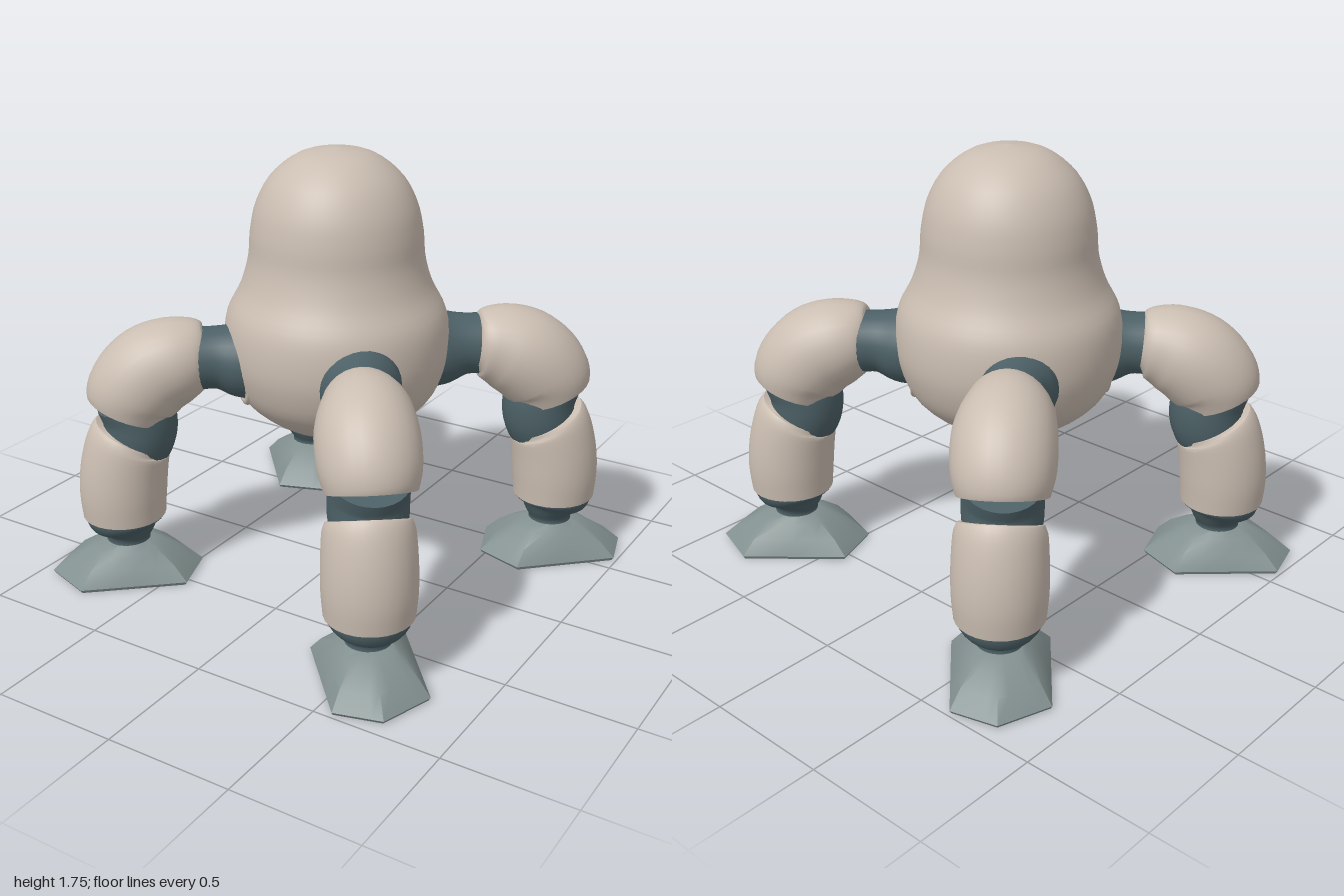
import * as THREE from 'three';
import { toCreasedNormals } from 'three/addons/utils/BufferGeometryUtils.js';

const mat = (name, color) => {
  const m = new THREE.MeshStandardMaterial({ color });
  m.name = name;
  return m;
};

const mesh = (name, geometry, material) => {
  const m = new THREE.Mesh(geometry, material);
  m.name = name;
  return m;
};

// Joins closed rings of points, capping both ends; counter-clockwise about the travel direction
function skin(rings) {
  const n = rings[0].length, pos = [], idx = [];
  rings.forEach(r => r.forEach(p => pos.push(p.x, p.y, p.z)));
  for (let i = 0; i < rings.length - 1; i++) {
    for (let j = 0; j < n; j++) {
      const k = (j + 1) % n;
      const a = i * n + j, b = i * n + k, c = b + n, d = a + n;
      idx.push(a, b, c, a, c, d);
    }
  }
  [0, rings.length - 1].forEach((ri, end) => {
    const c = new THREE.Vector3();
    rings[ri].forEach(p => c.addScaledVector(p, 1 / n));
    const ci = pos.length / 3;
    pos.push(c.x, c.y, c.z);
    for (let j = 0; j < n; j++) {
      const a = ri * n + j, b = ri * n + (j + 1) % n;
      idx.push(ci, ...(end ? [a, b] : [b, a]));
    }
  });
  const g = new THREE.BufferGeometry();
  g.setAttribute('position', new THREE.Float32BufferAttribute(pos, 3));
  g.setIndex(idx);
  return g;
}

// Round limb along a smooth path; each section is [x, y, z, radius]
function limb(sections, steps = 18, sides = 28) {
  const path = new THREE.CatmullRomCurve3(sections.map(s => new THREE.Vector3(s[0], s[1], s[2])));
  const radii = new THREE.CatmullRomCurve3(
    sections.map((s, i) => new THREE.Vector3(s[3], i, 0)), false, 'catmullrom', 0.5);
  const side = new THREE.Vector3(0.78, 0, -0.62);
  const rings = [];
  for (let i = 0; i <= steps; i++) {
    const c = path.getPoint(i / steps), t = path.getTangent(i / steps);
    const r = radii.getPoint(i / steps).x;
    const u = side.clone().addScaledVector(t, -side.dot(t)).normalize();
    const v = t.clone().cross(u);
    rings.push(Array.from({ length: sides }, (_, j) => {
      const a = j / sides * Math.PI * 2;
      return c.clone().addScaledVector(u, r * Math.cos(a)).addScaledVector(v, r * Math.sin(a));
    }));
  }
  return toCreasedNormals(skin(rings), 0.8);
}

// Six-sided foot that rounds off towards the ankle
function footGeometry() {
  const corners = [[0.57, 0.99], [0.75, 0.94], [0.82, 0.73], [0.54, 0.41], [0.34, 0.48], [0.28, 0.68]];
  const centre = new THREE.Vector2(0.545, 0.7);
  const outline = corners.flatMap(([x, z], i) => {
    const [nx, nz] = corners[(i + 1) % corners.length];
    return [0, 0.25, 0.5, 0.75].map(t => new THREE.Vector2(x + (nx - x) * t, z + (nz - z) * t).sub(centre));
  });
  // height, scale of the outline, share of a round section
  const levels = [[0.002, 0.97, 0], [0.015, 1, 0], [0.075, 0.79, 0.15], [0.125, 0.52, 0.4], [0.15, 0.33, 0.9]];
  const rings = levels.map(([y, s, round]) => outline.map(p => {
    const q = p.clone().lerp(p.clone().setLength(0.29), round).multiplyScalar(s).add(centre);
    return new THREE.Vector3(q.x, y, q.y);
  }));
  return toCreasedNormals(skin(rings), 0.6);
}

export function createModel() {
  const shell = mat('beige shell', 0xcabdb1);
  const joint = mat('dark joint', 0x4c6066);
  const sole = mat('grey foot', 0x82908f);
  const brass = mat('brown nozzle', 0x624d28);
  const model = new THREE.Group();
  model.name = 'walker';

  // Domed body with a wide belly
  const body = new THREE.Group();
  body.name = 'body';
  body.position.set(-0.035, 0, -0.015);
  const profile = new THREE.SplineCurve([
    [0, 0.585], [0.12, 0.595], [0.26, 0.65], [0.38, 0.75], [0.435, 0.87], [0.45, 0.98], [0.435, 1.1],
    [0.38, 1.21], [0.348, 1.32], [0.338, 1.43], [0.312, 1.54], [0.25, 1.645], [0.14, 1.725], [0, 1.75],
  ].map(p => new THREE.Vector2(...p))).getPoints(48);
  profile.forEach(p => { p.x = Math.max(0, p.x); });
  body.add(mesh('bodyShell', new THREE.LatheGeometry(profile, 48), shell));

  // Nozzle under the belly
  const nozzle = [[0, 0.42], [0.045, 0.425], [0.068, 0.47], [0.097, 0.55], [0.122, 0.61]]
    .map(p => new THREE.Vector2(...p));
  body.add(mesh('nozzle', new THREE.LatheGeometry(nozzle, 12), brass));
  model.add(body);

  // One leg, repeated by quarter turns
  const leg = new THREE.Group();
  leg.add(
    mesh('hipJoint', limb([
      [0.2, 0.925, 0.22, 0.165], [0.27, 0.925, 0.3, 0.155], [0.33, 0.935, 0.38, 0.125], [0.41, 0.93, 0.48, 0.13],
    ]), joint),
    mesh('upperLeg', limb([
      [0.34, 0.95, 0.425, 0.115], [0.36, 0.947, 0.45, 0.145], [0.415, 0.925, 0.515, 0.176],
      [0.472, 0.878, 0.595, 0.19], [0.518, 0.8, 0.652, 0.186], [0.537, 0.725, 0.675, 0.166],
    ], 24), shell),
    mesh('kneeJoint', limb([
      [0.525, 0.77, 0.66, 0.145], [0.505, 0.69, 0.64, 0.148], [0.508, 0.61, 0.645, 0.146], [0.535, 0.52, 0.68, 0.13],
    ]), joint),
    mesh('lowerLeg', limb([
      [0.522, 0.61, 0.668, 0.155], [0.531, 0.58, 0.68, 0.168], [0.545, 0.48, 0.698, 0.175],
      [0.552, 0.37, 0.707, 0.176], [0.552, 0.265, 0.707, 0.168],
    ]), shell),
    mesh('ankle', limb([
      [0.55, 0.28, 0.705, 0.162], [0.55, 0.245, 0.705, 0.155], [0.545, 0.2, 0.7, 0.112],
      [0.545, 0.16, 0.7, 0.088], [0.545, 0.12, 0.7, 0.1],
    ]), joint),
    mesh('foot', footGeometry(), sole),
  );
  // The back right leg stands slightly wider than the rest
  ['frontLeftLeg', 'backLeftLeg', 'backRightLeg', 'frontRightLeg'].forEach((name, i) => {
    const l = leg.clone();
    l.name = name;
    l.rotation.y = i * Math.PI / 2;
    l.position.x = name === 'backRightLeg' ? -0.06 : 0;
    model.add(l);
  });

  // Low rims where the hips enter the body
  for (let i = 0; i < 4; i++) {
    const a = Math.PI / 4 + i * Math.PI / 2;
    const rim = mesh('hipRim', new THREE.TorusGeometry(0.175, 0.016, 10, 32), shell);
    rim.position.set(Math.sin(a) * 0.378 - 0.035, 0.925, Math.cos(a) * 0.378 - 0.015);
    rim.rotation.y = a;
    model.add(rim);
  }
  return model;
}
